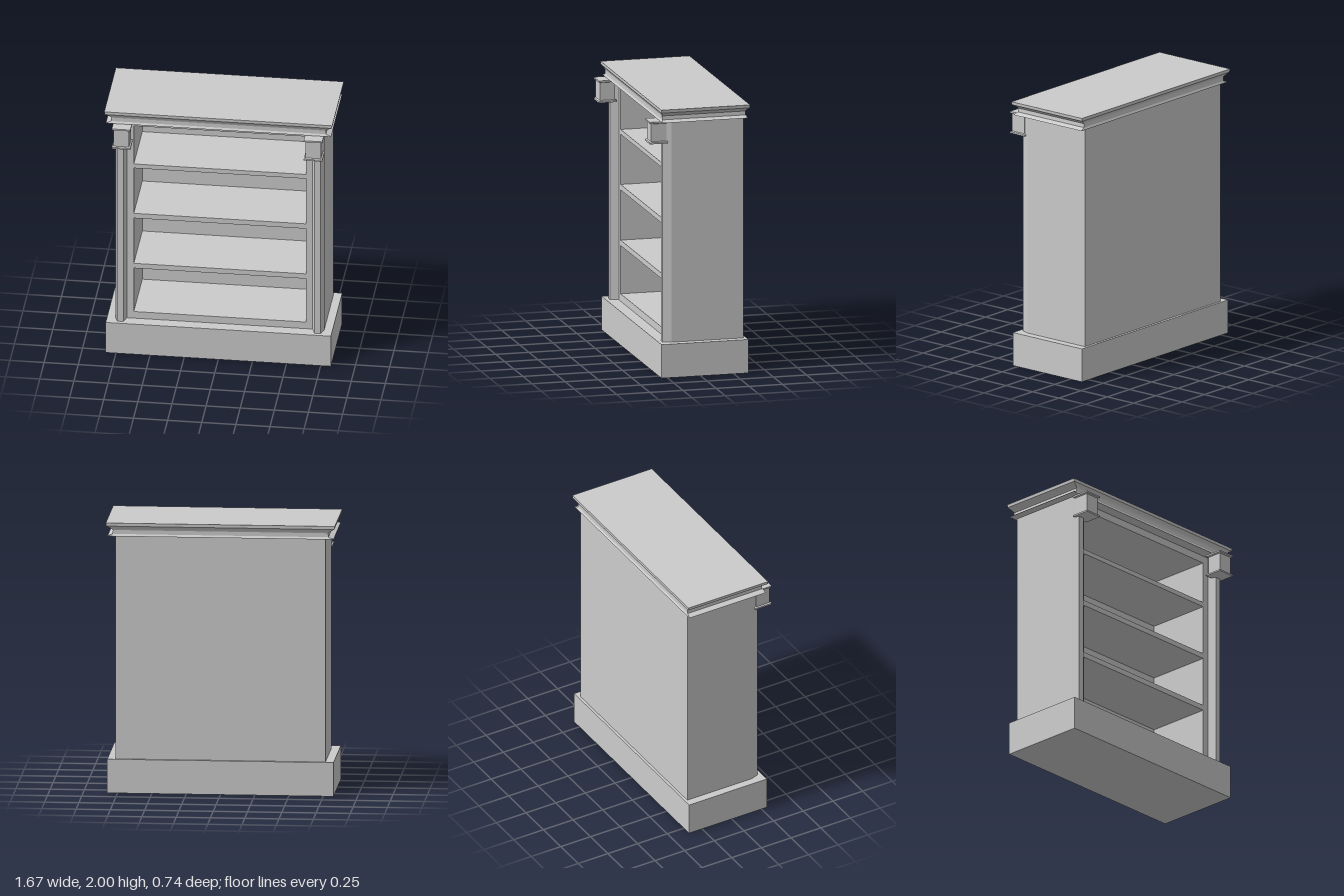
import * as THREE from 'three';

const material = new THREE.MeshStandardMaterial({ color: 0xcccccc, flatShading: true });

function addMesh(parent, name, geometry, x = 0, y = 0, z = 0) {
  const mesh = new THREE.Mesh(geometry, material);
  mesh.name = name;
  mesh.position.set(x, y, z);
  parent.add(mesh);
  return mesh;
}

// Box given by its lower and upper limits in each axis
function addBox(parent, name, [x0, x1], [y0, y1], [z0, z1]) {
  const geometry = new THREE.BoxGeometry(x1 - x0, y1 - y0, z1 - z0);
  return addMesh(parent, name, geometry, (x0 + x1) / 2, (y0 + y1) / 2, (z0 + z1) / 2);
}

function polygon(points) {
  return new THREE.Shape(points.map(([x, y]) => new THREE.Vector2(x, y)));
}

function rectangle(x0, x1, y0, y1) {
  return polygon([[x0, y0], [x1, y0], [x1, y1], [x0, y1]]);
}

// Closed solid of stacked rectangles, each level [y, half width, half depth]
function mitredMoulding(levels) {
  const positions = [];
  const corners = levels.map(([y, w, d]) => [[-w, y, d], [w, y, d], [w, y, -d], [-w, y, -d]]);
  const quad = (a, b, c, d) => positions.push(...a, ...b, ...c, ...a, ...c, ...d);
  for (let i = 0; i < levels.length - 1; i++) {
    for (let k = 0; k < 4; k++) {
      const n = (k + 1) % 4;
      quad(corners[i][k], corners[i][n], corners[i + 1][n], corners[i + 1][k]);
    }
  }
  const top = corners[corners.length - 1];
  const bottom = corners[0];
  quad(top[0], top[1], top[2], top[3]);
  quad(bottom[3], bottom[2], bottom[1], bottom[0]);
  const geometry = new THREE.BufferGeometry();
  geometry.setAttribute('position', new THREE.Float32BufferAttribute(positions, 3));
  geometry.computeVertexNormals();
  return geometry;
}

export function createModel() {
  const group = new THREE.Group();
  group.name = 'bookcase';

  // Base
  addBox(group, 'plinth', [-0.825, 0.825], [0, 0.25], [-0.36, 0.295]);

  // Carcass with four open bays; the wood between the bays forms the shelves
  const front = rectangle(-0.765, 0.765, 0.25, 1.905);
  for (const [y0, y1] of [[0.305, 0.665], [0.705, 1.08], [1.12, 1.495], [1.53, 1.845]]) {
    front.holes.push(rectangle(-0.63, 0.63, y0, y1));
  }
  const carcass = new THREE.ExtrudeGeometry(front, { depth: 0.49, bevelEnabled: false });
  addMesh(group, 'carcassAndShelves', carcass, 0, 0, -0.285);
  addBox(group, 'backPanel', [-0.765, 0.765], [0.25, 1.905], [-0.34, -0.285]);

  // Bevelled pilasters, each carrying a projecting capital
  const section = polygon([[-0.0425, 0], [0.0425, 0], [0.0225, 0.06], [-0.0225, 0.06]]);
  const pilaster = new THREE.ExtrudeGeometry(section, { depth: 1.65, bevelEnabled: false });
  pilaster.rotateX(-Math.PI / 2).rotateY(Math.PI);
  const capital = mitredMoulding([
    [1.735, 0.068, 0.069], [1.747, 0.068, 0.069], [1.752, 0.057, 0.058],
    [1.883, 0.057, 0.058], [1.888, 0.068, 0.069], [1.9, 0.068, 0.069],
  ]);
  for (const [side, sign] of [['left', 1], ['right', -1]]) {
    addMesh(group, side + 'Pilaster', pilaster, sign * 0.7225, 0.25, 0.205);
    addMesh(group, side + 'Capital', capital, sign * 0.703, 0, 0.299);
  }

  // Crown: flared lip, narrow neck, cove and top slab
  const crown = mitredMoulding([
    [1.9, 0.825, 0.322], [1.904, 0.822, 0.321], [1.916, 0.787, 0.314], [1.945, 0.785, 0.314],
    [1.955, 0.796, 0.318], [1.967, 0.815, 0.326], [1.977, 0.832, 0.334], [2, 0.835, 0.335],
  ]);
  addMesh(group, 'crown', crown, 0, 0, -0.035);

  return group;
}
